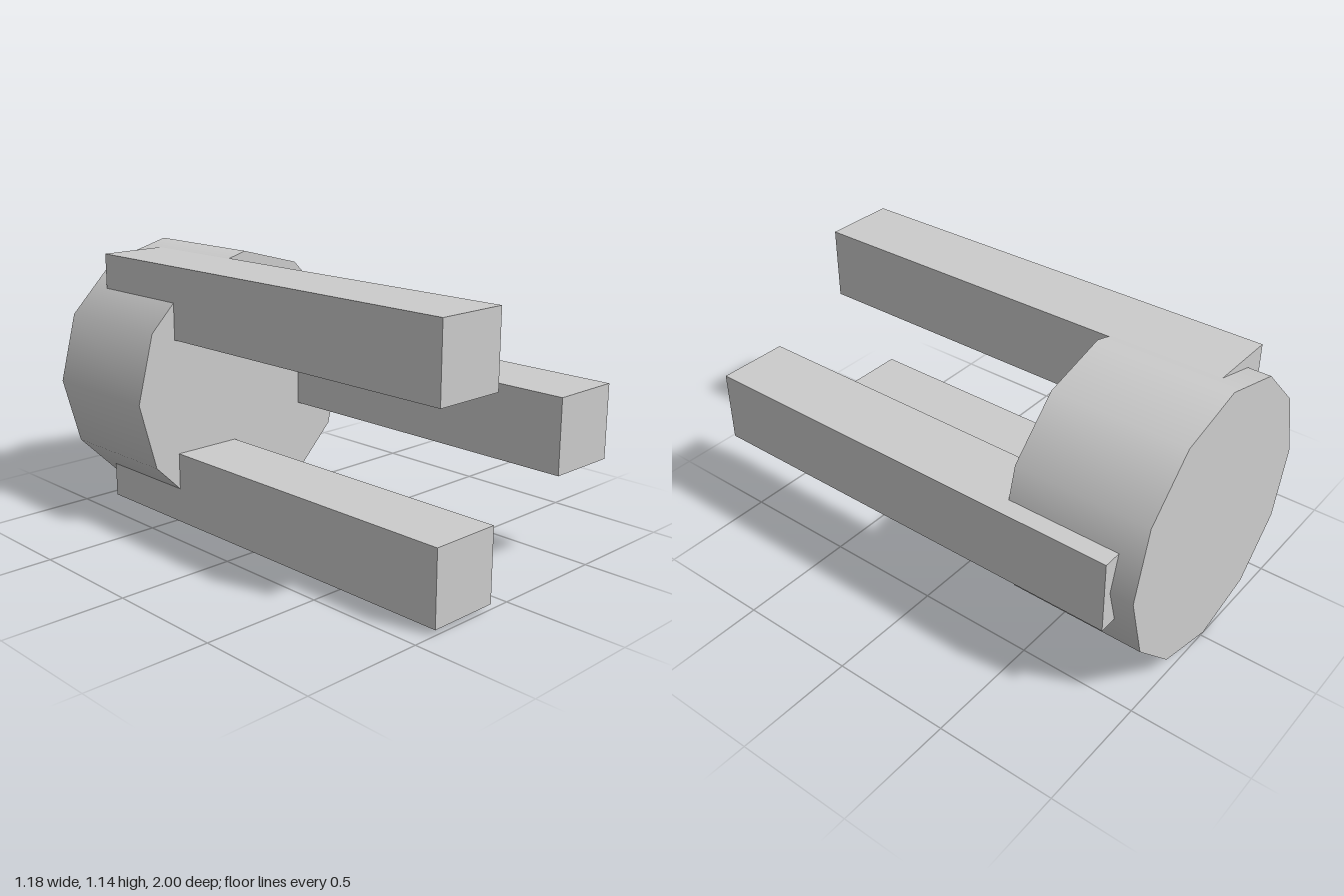
import * as THREE from 'three';

export function createModel() {
  const group = new THREE.Group();
  const grey = new THREE.MeshStandardMaterial({ color: 0xcccccc });
  grey.name = 'plain grey';

  // Twelve-sided hub with smooth rim and flat caps
  const hub = new THREE.Mesh(new THREE.CylinderGeometry(0.571, 0.571, 0.57, 12), grey);
  hub.name = 'hub';
  hub.rotation.x = Math.PI / 2;
  hub.position.set(-0.02, 0.573, -0.715);
  group.add(hub);

  // Three square prongs, sunk into the hub and reaching forward
  const prong = new THREE.BoxGeometry(0.304, 0.304, 1.905);
  const prongs = [
    ['upperProng', -0.251, 0.968],
    ['sideProng', 0.435, 0.573],
    ['lowerProng', -0.246, 0.175],
  ];
  for (const [name, x, y] of prongs) {
    const mesh = new THREE.Mesh(prong, grey);
    mesh.name = name;
    mesh.position.set(x, y, 0.0475);
    group.add(mesh);
  }
  return group;
}
